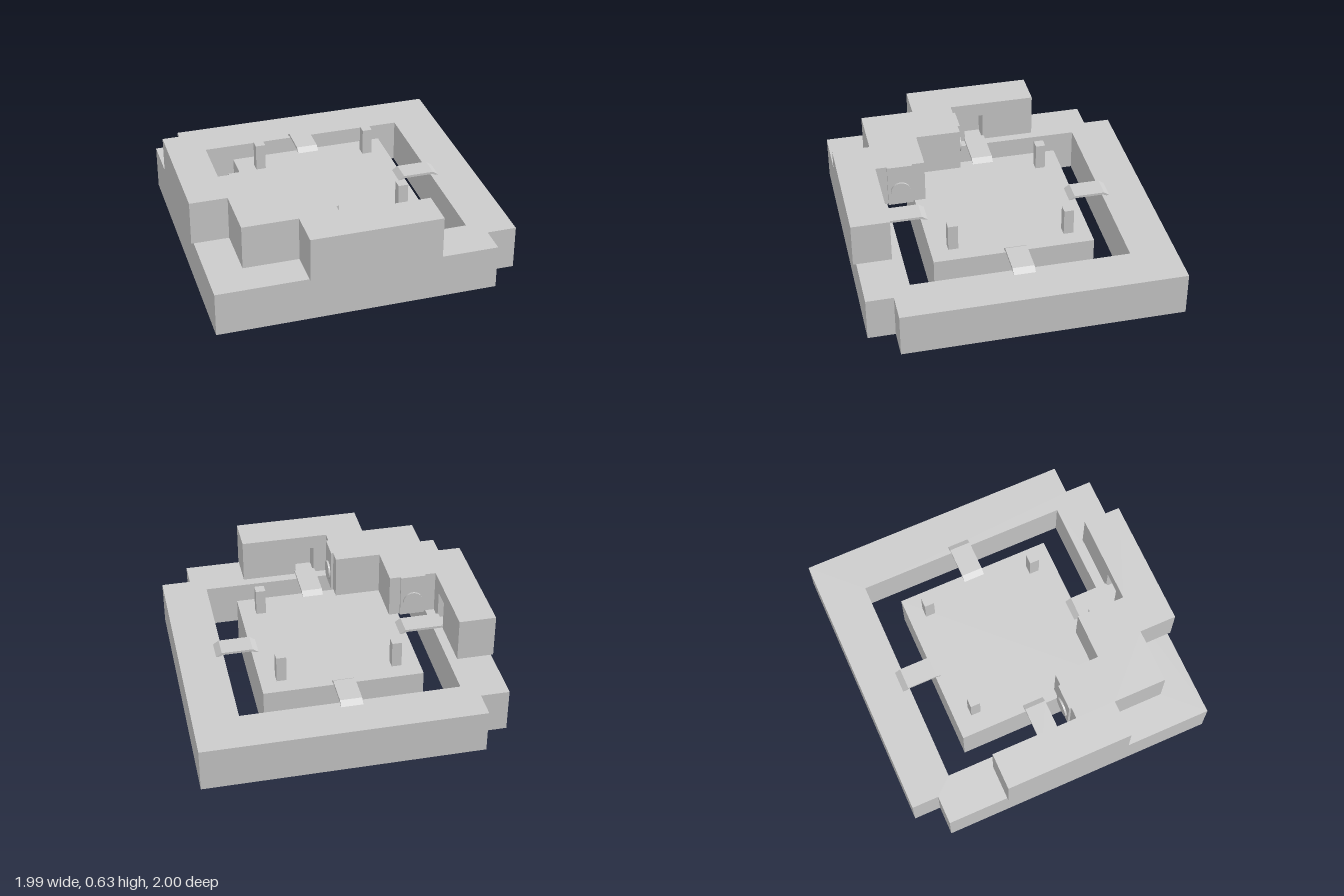
import * as THREE from 'three';

const grey = new THREE.MeshStandardMaterial({ color: 0xcccccc, flatShading: true });

function add(parent, name, geometry, x = 0, y = 0, z = 0) {
  const mesh = new THREE.Mesh(geometry, grey);
  mesh.name = name;
  mesh.position.set(x, y, z);
  parent.add(mesh);
  return mesh;
}

// Plan points are [x, z]; the slab rises from y0 to y1.
function slab(plan, y0, y1, hole) {
  const toVec = ([x, z]) => new THREE.Vector2(x, -z);
  const shape = new THREE.Shape(plan.map(toVec));
  if (hole) shape.holes.push(new THREE.Path(hole.map(toVec)));
  const geo = new THREE.ExtrudeGeometry(shape, { depth: y1 - y0, bevelEnabled: false });
  return geo.rotateX(-Math.PI / 2).translate(0, y0, 0);
}

// Thin walkway along +x from the island edge; the outer end is sloped or runs on flat.
function bridgeGeometry(inner, outer, slopedEnd) {
  const base = 0.338, top = 0.366, t = 0.016, s = 0.04;
  const pts = slopedEnd
    ? [[inner, base], [inner + s, top], [outer - s, top], [outer, base],
       [outer - 0.02, base], [outer - s - 0.005, top - t], [inner + s + 0.005, top - t], [inner + 0.02, base]]
    : [[inner, base], [inner + s, top], [outer, top], [outer, top - t],
       [inner + s + 0.005, top - t], [inner + 0.02, base]];
  const shape = new THREE.Shape(pts.map(([x, y]) => new THREE.Vector2(x, y)));
  return new THREE.ExtrudeGeometry(shape, { depth: 0.14, bevelEnabled: false }).translate(0, 0, -0.07);
}

export function createModel() {
  const model = new THREE.Group();
  model.name = 'courtyardFort';
  const ground = 0.34, roof = 0.63, doorTop = 0.535;

  // Outer ring with two notched corners and a square moat
  add(model, 'outerRing', slab(
    [[-0.8, -1], [0.99, -1], [0.99, 0.805], [0.8, 0.805], [0.8, 0.98], [-0.985, 0.98], [-0.985, -0.825], [-0.8, -0.825]],
    0.05, ground,
    [[-0.7, -0.71], [-0.7, 0.69], [0.7, 0.69], [0.7, -0.71]]));

  // Central island
  add(model, 'island', new THREE.BoxGeometry(1.03, ground, 1.035), 0.003, ground / 2, -0.01);

  // Stepped wall: the lower storey has two door recesses, the upper runs over them
  const wallPlan = (westDoor, southDoor) => [
    [-1, -0.43], [-0.76, -0.43], ...westDoor, [-0.76, 0.14], [-0.45, 0.14], [-0.45, 0.435],
    [-0.15, 0.435], [-0.15, 0.755], ...southDoor, [0.43, 0.755], [0.43, 1], [-0.405, 1],
    [-0.405, 0.755], [-0.76, 0.755], [-0.76, 0.405], [-1, 0.405],
  ];
  const westDoor = [[-0.76, -0.08], [-0.88, -0.08], [-0.88, 0.045], [-0.76, 0.045]];
  const southDoor = [[-0.06, 0.755], [-0.06, 0.875], [0.065, 0.875], [0.065, 0.755]];
  const wall = new THREE.Group();
  wall.name = 'steppedWall';
  model.add(wall);
  add(wall, 'wallLower', slab(wallPlan(westDoor, southDoor), ground, doorTop));
  add(wall, 'wallUpper', slab(wallPlan([], []), doorTop, roof));

  // Wall panels, each with a round disc
  for (const [name, x, z, turn] of [['west', -0.605, 0.14, Math.PI], ['south', -0.15, 0.6, Math.PI / 2]]) {
    const panel = new THREE.Group();
    panel.name = name + 'DiscPanel';
    panel.position.set(x, 0, z);
    panel.rotation.y = turn;
    add(panel, 'panel', new THREE.BoxGeometry(0.165, roof - ground, 0.015), 0, (roof + ground) / 2, 0.0075);
    add(panel, 'disc', new THREE.CylinderGeometry(0.064, 0.064, 0.013, 32).rotateX(Math.PI / 2), 0, 0.445, 0.0205);
    model.add(panel);
  }

  // Bridges over the moat on all four sides
  const bridges = [
    ['eastBridge', 0.47, 0.752, true, 0, 0, -0.02],
    ['northBridge', 0.48, 0.76, true, Math.PI / 2, 0.003, 0],
    ['westBridge', 0.465, 0.765, false, Math.PI, 0, -0.02],
    ['southBridge', 0.46, 0.76, false, -Math.PI / 2, 0.003, 0],
  ];
  for (const [name, inner, outer, sloped, turn, x, z] of bridges) {
    add(model, name, bridgeGeometry(inner, outer, sloped), x, 0, z).rotation.y = turn;
  }

  // Short posts on the island corners
  for (const [x, z] of [[-0.362, -0.387], [0.382, -0.387], [0.382, 0.362]]) {
    add(model, 'post', new THREE.BoxGeometry(0.064, 0.177, 0.064), x, ground + 0.0885, z);
  }
  return model;
}
